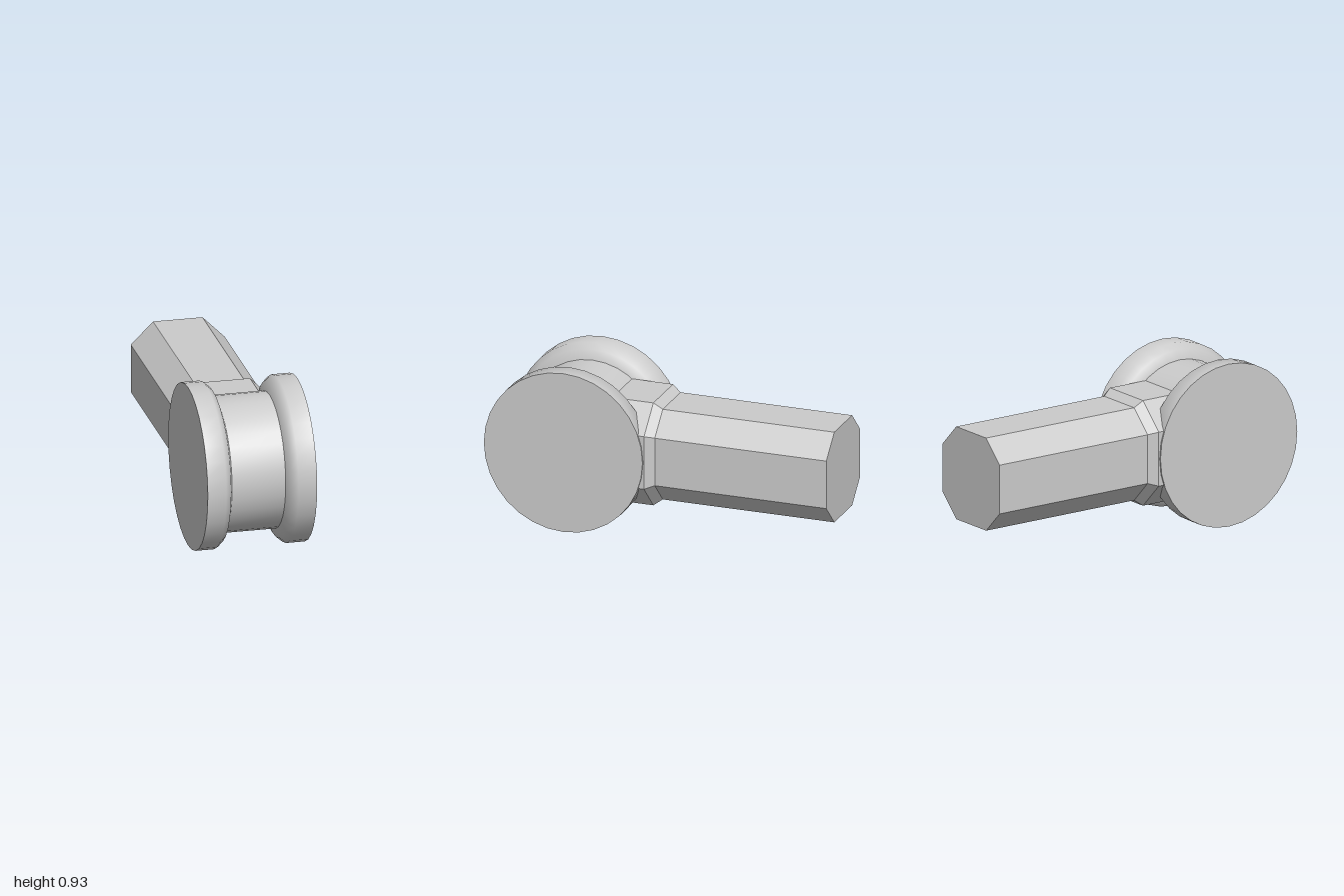
import * as THREE from 'three';
import { toCreasedNormals } from 'three/addons/utils/BufferGeometryUtils.js';

const material = new THREE.MeshStandardMaterial({ color: 0xcccccc });
const CENTER_Y = 0.47;

// Chamfered-square prism lofted along z; each section is [z, half size, half width of a flat]
function octagonLoft(sections) {
  const positions = [], index = [];
  for (const [z, h, f] of sections) {
    const ring = [[h, -f], [h, f], [f, h], [-f, h], [-h, f], [-h, -f], [-f, -h], [f, -h]];
    for (const [x, y] of ring) positions.push(x, y, z);
  }
  for (let s = 0; s < sections.length - 1; s++) {
    for (let i = 0; i < 8; i++) {
      const a = s * 8 + i, b = s * 8 + (i + 1) % 8;
      index.push(a, b, b + 8, a, b + 8, a + 8);
    }
  }
  // end caps
  const last = (sections.length - 1) * 8;
  for (let i = 1; i < 7; i++) {
    index.push(0, i + 1, i);
    index.push(last, last + i, last + i + 1);
  }
  const geometry = new THREE.BufferGeometry();
  geometry.setAttribute('position', new THREE.Float32BufferAttribute(positions, 3));
  geometry.setIndex(index);
  return toCreasedNormals(geometry, 0.6);
}

export function createModel() {
  const model = new THREE.Group();
  model.name = 'grooved roller on shaft';

  const add = (name, geometry, z = 0) => {
    const mesh = new THREE.Mesh(geometry, material);
    mesh.name = name;
    mesh.position.set(0, CENTER_Y, z);
    model.add(mesh);
  };

  // Roller: two flanges with rounded inner rims around a narrower hub
  const half = [[0.467, 0.31], [0.467, 0.205], [0.437, 0.17], [0.382, 0.152]];
  const profile = [
    [0, -0.31],
    ...half.map(([r, x]) => [r, -x]),
    ...half.slice().reverse(),
    [0, 0.31],
  ].map(([r, x]) => new THREE.Vector2(r, x));
  const roller = new THREE.LatheGeometry(profile, 32).rotateZ(-Math.PI / 2);
  add('roller', toCreasedNormals(roller, 1.25), 0.533);

  // Shaft: octagonal bar that flares into a collar and runs into the hub
  add('shaft and collar', octagonLoft([
    [-1, 0.266, 0.14],
    [0.01, 0.266, 0.14],
    [0.06, 0.302, 0.155],
    [0.45, 0.302, 0.155],
  ]));

  return model;
}
